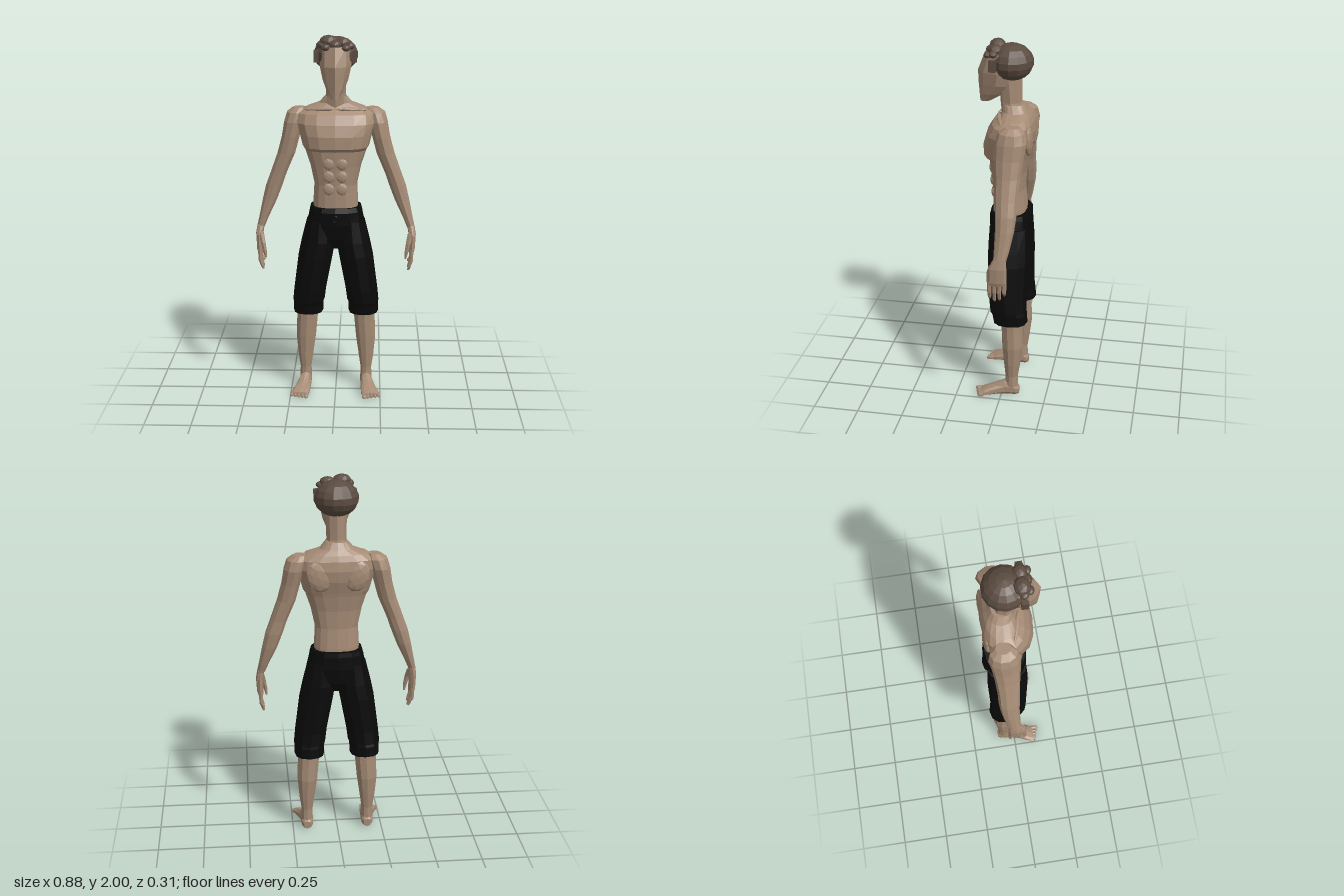
import * as THREE from 'three';

const mat = (name, color) => Object.assign(new THREE.MeshStandardMaterial({ color }), { name });

// Faceted normals baked into the geometry
function facet(geo) {
  const g = geo.index ? geo.toNonIndexed() : geo;
  g.computeVertexNormals();
  return g;
}

// Closed loft through horizontal rings [x, y, z, halfWidth, front, back].
// e < 1 squares the section, e > 1 makes it more diamond-like.
function loft(rings, n = 10, e = 1, s = 1) {
  const pow = v => Math.sign(v) * Math.abs(v) ** e;
  const rows = [...rings].sort((a, b) => a[1] - b[1]);
  const pos = [], idx = [];
  for (const [x, y, z, w, f, b = f] of rows) {
    for (let i = 0; i < n; i++) {
      const a = i / n * Math.PI * 2, c = Math.cos(a);
      pos.push(s * x + w * pow(Math.sin(a)), y, z + (c > 0 ? f : b) * pow(c));
    }
  }
  const last = (rows.length - 1) * n, bottom = rows.length * n;
  for (const r of [rows[0], rows[rows.length - 1]]) pos.push(s * r[0], r[1], r[2]);
  for (let i = 0; i < n; i++) {
    const k = (i + 1) % n;
    for (let j = 0; j < last; j += n) {
      idx.push(j + i, j + k, j + n + k, j + i, j + n + k, j + n + i);
    }
    idx.push(bottom, k, i, bottom + 1, last + i, last + k);
  }
  const g = new THREE.BufferGeometry();
  g.setAttribute('position', new THREE.Float32BufferAttribute(pos, 3));
  g.setIndex(idx);
  return facet(g);
}

export function createModel() {
  const model = new THREE.Group();
  model.name = 'man';
  const skin = mat('skin', 0xa58b75);
  const hair = mat('hair', 0x5b4b40);
  const cloth = mat('shorts cloth', 0x0a0a0a);

  const add = (name, geo, material, parent = model) => {
    const m = new THREE.Mesh(geo, material);
    m.name = name;
    parent.add(m);
    return m;
  };
  const blob = (name, x, y, z, rx, ry, rz, material, parent, detail = 1) => {
    const m = add(name, facet(new THREE.IcosahedronGeometry(1, detail)), material, parent);
    m.position.set(x, y, z);
    m.scale.set(rx, ry, rz);
    return m;
  };

  // Torso, with a ledge under the chest
  add('torso', loft([
    [0, 1.00, -0.02, 0.12, 0.09, 0.09],
    [0, 1.09, -0.02, 0.122, 0.09, 0.09],
    [0, 1.20, -0.02, 0.116, 0.092, 0.08],
    [0, 1.30, -0.02, 0.137, 0.10, 0.085],
    [0, 1.385, -0.02, 0.165, 0.108, 0.10],
    [0, 1.405, -0.02, 0.178, 0.138, 0.105],
    [0, 1.47, -0.03, 0.195, 0.148, 0.115],
    [0, 1.53, -0.04, 0.215, 0.14, 0.112],
    [0, 1.58, -0.05, 0.21, 0.12, 0.095],
    [0, 1.61, -0.05, 0.16, 0.08, 0.082],
    [0, 1.635, -0.045, 0.09, 0.06, 0.07],
    [0, 1.67, -0.035, 0.058, 0.055, 0.06],
  ], 16, 0.8), skin);

  // Neck and head, with a face that meets in a ridge
  add('neck', loft([
    [0, 1.58, -0.035, 0.07, 0.06, 0.06],
    [0, 1.68, -0.025, 0.053, 0.06, 0.055],
    [0, 1.82, -0.015, 0.055, 0.06, 0.065],
  ], 8), skin);
  add('head', loft([
    [0, 1.675, 0.12, 0.02, 0.022, 0.03],
    [0, 1.72, 0.08, 0.048, 0.066, 0.07],
    [0, 1.77, 0.05, 0.068, 0.10, 0.10],
    [0, 1.84, 0.04, 0.083, 0.113, 0.12],
    [0, 1.94, 0.03, 0.083, 0.085, 0.12],
  ], 8, 1.15), skin);

  // Hair: cap, front curls and sideburns
  const hairGroup = new THREE.Group();
  hairGroup.name = 'hair';
  model.add(hairGroup);
  const cap = add('hairCap', facet(new THREE.SphereGeometry(1, 14, 9)), hair, hairGroup);
  cap.position.set(0, 1.89, -0.025);
  cap.scale.set(0.117, 0.096, 0.114);
  for (const [x, y, z, r] of [
    [-0.035, 1.965, 0.055, 0.05], [0.04, 1.958, 0.055, 0.042], [-0.07, 1.95, 0.06, 0.03],
    [0.075, 1.943, 0.06, 0.026], [0, 1.95, 0.082, 0.033], [-0.05, 1.938, 0.09, 0.026],
    [0.055, 1.935, 0.092, 0.024],
  ]) blob('curl', x, y, z, r, r * 0.7, r * 0.85, hair, hairGroup);

  for (const s of [1, -1]) {
    const side = s > 0 ? 'left' : 'right';
    const burn = add(side + 'Sideburn', facet(new THREE.BoxGeometry(0.025, 0.06, 0.035)), hair, hairGroup);
    burn.position.set(s * 0.1, 1.89, 0.06);

    // Shallow muscles
    for (let i = 0; i < 3; i++) {
      blob(side + 'Abdominal', s * 0.034, 1.18 + i * 0.07, 0.066 + i * 0.005, 0.032, 0.034, 0.012, skin);
    }
    const blade = blob(side + 'ShoulderBlade', s * 0.1, 1.5, -0.13, 0.065, 0.085, 0.022, skin);
    blade.rotation.z = s * -0.3;
    const collar = blob(side + 'Collarbone', s * 0.085, 1.605, 0.025, 0.085, 0.011, 0.014, skin);
    collar.rotation.set(0, s * 0.25, s * -0.06);

    // Arm
    const arm = new THREE.Group();
    arm.name = side + 'Arm';
    model.add(arm);
    add('armLimb', loft([
      [0.195, 1.605, -0.06, 0.035, 0.04],
      [0.21, 1.58, -0.06, 0.055, 0.07],
      [0.225, 1.53, -0.058, 0.055, 0.082],
      [0.243, 1.45, -0.052, 0.05, 0.075],
      [0.267, 1.36, -0.05, 0.05, 0.066],
      [0.31, 1.25, -0.05, 0.046, 0.058],
      [0.335, 1.18, -0.052, 0.047, 0.056],
      [0.36, 1.10, -0.05, 0.041, 0.05],
      [0.394, 1.00, -0.04, 0.027, 0.04],
      [0.41, 0.95, -0.033, 0.022, 0.034],
    ], 10, 1, s), skin, arm);
    add('palm', loft([
      [0.41, 0.96, -0.033, 0.02, 0.033],
      [0.418, 0.91, -0.022, 0.02, 0.048],
      [0.417, 0.83, -0.02, 0.017, 0.05],
      [0.414, 0.81, -0.02, 0.014, 0.047],
    ], 8, 0.8, s), skin, arm);
    for (let i = 0; i < 4; i++) {
      const z = 0.019 - i * 0.026, tip = [0.725, 0.71, 0.718, 0.745][i];
      add('finger', loft([
        [0.415, 0.83, z, 0.012, 0.012],
        [0.413, 0.77, z + 0.002, 0.011, 0.011],
        [0.402, tip + 0.01, z + 0.003, 0.009, 0.009],
        [0.398, tip, z + 0.003, 0.005, 0.005],
      ], 6, 1, s), skin, arm);
    }
    add('thumb', loft([
      [0.408, 0.92, 0.005, 0.016, 0.02],
      [0.396, 0.87, 0.024, 0.014, 0.015],
      [0.386, 0.82, 0.03, 0.011, 0.011],
      [0.381, 0.785, 0.03, 0.006, 0.006],
    ], 6, 1, s), skin, arm);

    // Shorts leg with a gathered cuff
    add(side + 'ShortsLeg', loft([
      [0.085, 1.0, -0.025, 0.072, 0.105],
      [0.095, 0.88, -0.025, 0.092, 0.112],
      [0.11, 0.8, -0.025, 0.094, 0.112],
      [0.142, 0.6, -0.027, 0.088, 0.104],
      [0.15, 0.53, -0.033, 0.087, 0.102],
      [0.153, 0.515, -0.04, 0.083, 0.098],
      [0.153, 0.46, -0.046, 0.082, 0.094],
    ], 12, 0.85, s), cloth);

    // Lower leg and foot
    const leg = new THREE.Group();
    leg.name = side + 'Leg';
    model.add(leg);
    add('lowerLeg', loft([
      [0.155, 0.55, -0.05, 0.062, 0.062],
      [0.16, 0.42, -0.055, 0.06, 0.058],
      [0.167, 0.31, -0.06, 0.057, 0.058],
      [0.17, 0.2, -0.058, 0.044, 0.046],
      [0.17, 0.12, -0.056, 0.032, 0.036],
      [0.17, 0.03, -0.056, 0.034, 0.038],
    ], 10, 1, s), skin, leg);
    // Foot rings run along z: [x, z, -height, halfWidth, down, up]
    add('foot', loft([
      [0.17, -0.098, -0.03, 0.02, 0.025, 0.02],
      [0.17, -0.08, -0.035, 0.032, 0.035, 0.035],
      [0.172, -0.02, -0.035, 0.034, 0.035, 0.055],
      [0.18, 0.03, -0.028, 0.04, 0.028, 0.035],
      [0.193, 0.09, -0.018, 0.05, 0.018, 0.02],
      [0.198, 0.118, -0.013, 0.046, 0.013, 0.012],
    ], 10, 0.85, s).rotateX(Math.PI / 2), skin, leg);
    for (let i = 0; i < 5; i++) {
      const x = 0.16 + i * 0.02, end = 0.151 - i * 0.006, r = i ? 0.008 : 0.012;
      add('toe', loft([
        [x, 0.095, -0.013, r, 0.012],
        [x + 0.002, end - 0.01, -0.011, r, 0.01],
        [x + 0.002, end, -0.009, r * 0.6, 0.006],
      ], 6, 0.85, s).rotateX(Math.PI / 2), skin, leg);
    }
  }

  // Shorts waist and drawstring
  add('shortsWaist', loft([
    [0, 1.075, -0.025, 0.138, 0.108, 0.112],
    [0, 1.05, -0.025, 0.145, 0.115, 0.115],
    [0, 0.98, -0.025, 0.158, 0.112, 0.115],
    [0, 0.9, -0.025, 0.15, 0.1, 0.105],
    [0, 0.84, -0.025, 0.06, 0.06, 0.06],
  ], 14, 0.8), cloth);
  const bow = add('drawstring', facet(new THREE.TorusGeometry(0.012, 0.003, 5, 10)), cloth);
  bow.position.set(0, 1.02, 0.09);
  bow.scale.y = 1.4;

  return model;
}
